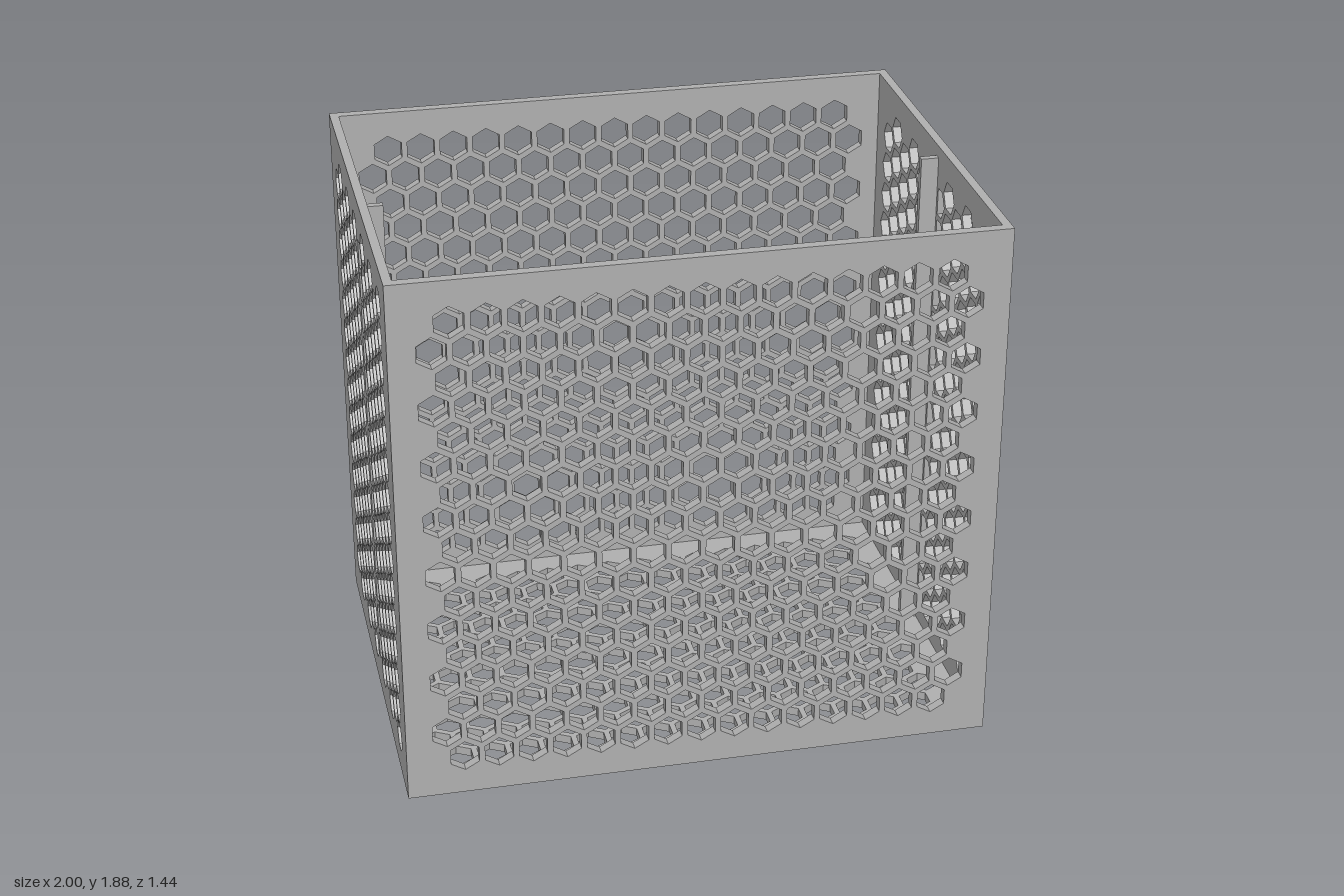
import * as THREE from 'three';

const W = 2, H = 1.88, D = 1.44;      // outer size
const TX = 0.03, TZ = 0.035, TF = 0.03; // side, front/back and floor thickness
const PITCH = 0.115, ROW = PITCH * Math.sqrt(3) / 2, R = 0.055;
const RIB = [-0.002, 0.035];          // solid strip in the middle of the side walls

// Staggered hexagons, centred on the origin, as lists of corner points
function honeycomb(rows, longCount, longFirst) {
  const cells = [];
  for (let r = 0; r < rows; r++) {
    const n = (r % 2 === 0) === longFirst ? longCount : longCount - 1;
    for (let i = 0; i < n; i++) {
      const cu = (i - (n - 1) / 2) * PITCH, cv = (r - (rows - 1) / 2) * ROW;
      const cell = [];
      for (let k = 0; k < 6; k++) {
        const a = Math.PI / 2 - k * Math.PI / 3;
        cell.push(new THREE.Vector2(cu + R * Math.cos(a), cv + R * Math.sin(a)));
      }
      cells.push(cell);
    }
  }
  return cells;
}

// Flat plate in the XY plane, centred, pierced by the given cells
function perforatedPlate(w, h, t, cells) {
  const s = new THREE.Shape([
    new THREE.Vector2(-w / 2, -h / 2), new THREE.Vector2(w / 2, -h / 2),
    new THREE.Vector2(w / 2, h / 2), new THREE.Vector2(-w / 2, h / 2),
  ]);
  s.holes = cells.map((c) => new THREE.Path(c));
  const g = new THREE.ExtrudeGeometry(s, { depth: t, bevelEnabled: false });
  return g.translate(0, 0, -t / 2);
}

export function createModel() {
  const group = new THREE.Group();
  group.name = 'honeycombBasket';
  const grey = new THREE.MeshStandardMaterial({ color: 0xb0b0b0 });
  grey.name = 'grey';
  const add = (name, geometry, x, y, z) => {
    const m = new THREE.Mesh(geometry, grey);
    m.name = name;
    m.position.set(x, y, z);
    group.add(m);
  };

  // Front and back walls
  const broad = perforatedPlate(W, H, TZ, honeycomb(17, 16, false));
  add('frontWall', broad, 0, H / 2, D / 2 - TZ / 2);
  add('backWall', broad, 0, H / 2, -D / 2 + TZ / 2);

  // Side walls: the pattern is turned upright and cut off at the middle strip
  const sideCells = honeycomb(12, 15, false).map((cell) => {
    const mid = cell.reduce((sum, p) => sum + p.y, 0) / 6;
    return cell.map((p) => new THREE.Vector2(
      mid > 0 ? Math.max(p.y, RIB[1]) : Math.min(p.y, RIB[0]), p.x));
  });
  const side = perforatedPlate(D - 2 * TZ, H, TX, sideCells).rotateY(-Math.PI / 2);

  // Upright guide ribs on the inside of the side walls
  const ribTop = 1.84, ribDepth = 0.06;
  const rib = new THREE.BoxGeometry(ribDepth, ribTop - TF, 0.024);
  for (const [label, s] of [['left', 1], ['right', -1]]) {
    add(label + 'Wall', side, s * (W / 2 - TX / 2), H / 2, 0);
    add(label + 'Rib', rib, s * (W / 2 - TX - ribDepth / 2), (ribTop + TF) / 2, 0.01);
  }

  // Floor
  const floor = perforatedPlate(W - 2 * TX, D - 2 * TZ, TF, honeycomb(12, 16, true));
  add('floor', floor.rotateX(Math.PI / 2), 0, TF / 2, 0);

  return group;
}
